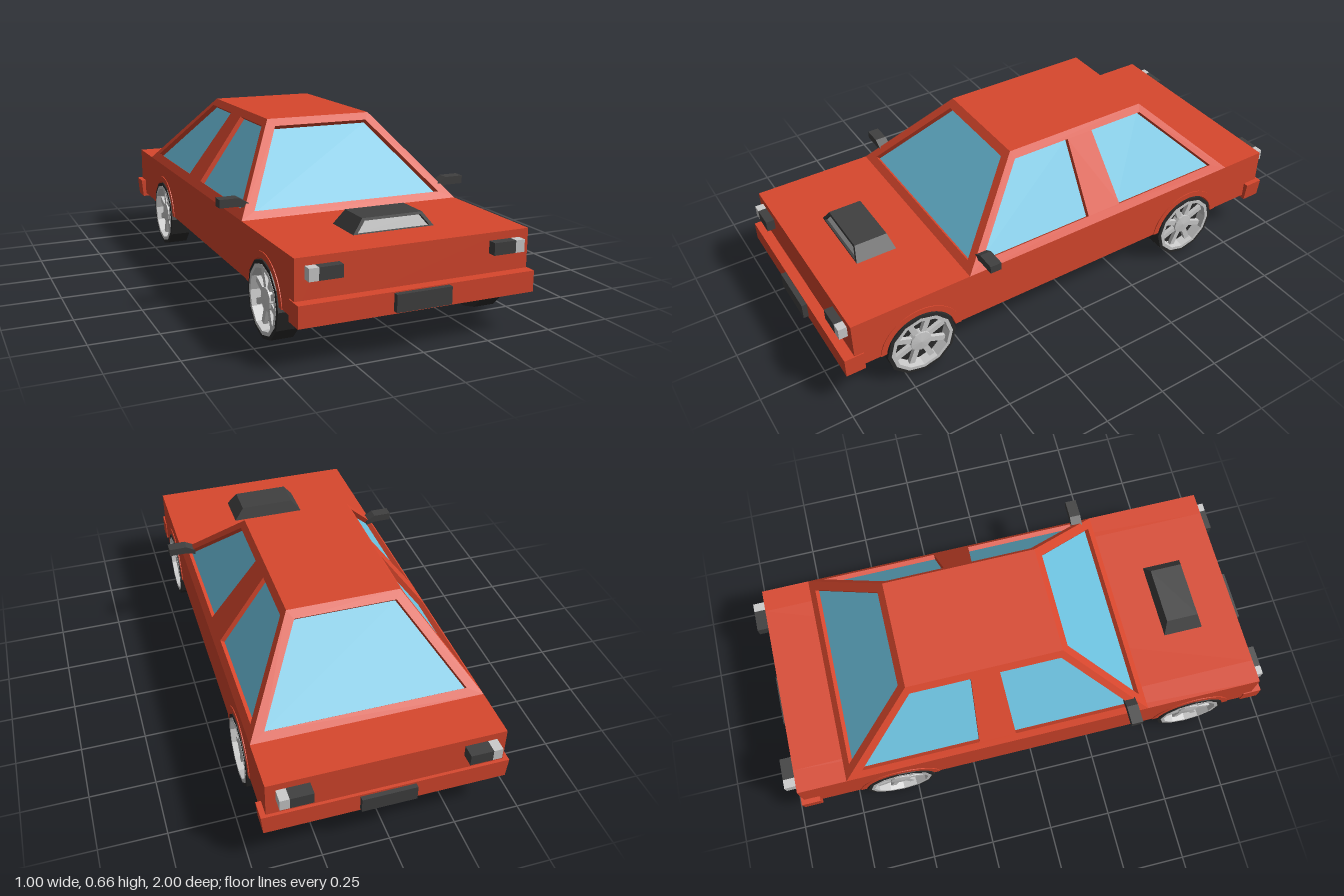
import * as THREE from 'three';

const mat = (color) => new THREE.MeshStandardMaterial({ color, flatShading: true });
const RED = mat(0xd8472d), DARK = mat(0x404040), TYRE = mat(0x2b2b2b), GLASS = mat(0x6cc1de), GREY = mat(0xcccccc);
const WHEEL_Z = [0.68, -0.56], WHEEL_R = 0.14, ARCH_R = 0.148;

const V = (p) => new THREE.Vector3(...p);
const mirrorX = (pts) => pts.map(([x, y, z]) => [-x, y, z]).reverse();
const mirrorZ = (pts, z = 0) => pts.map(([x, y, pz]) => [x, y, 2 * z - pz]).reverse();

function add(group, name, geometry, material, x = 0, y = 0, z = 0) {
  const mesh = new THREE.Mesh(geometry, material);
  mesh.name = name;
  mesh.position.set(x, y, z);
  group.add(mesh);
  return mesh;
}

const box = (group, name, material, [x0, x1], [y0, y1], [z0, z1]) =>
  add(group, name, new THREE.BoxGeometry(x1 - x0, y1 - y0, z1 - z0), material, (x0 + x1) / 2, (y0 + y1) / 2, (z0 + z1) / 2);

// Flat wall through 3D corners (anticlockwise from outside) with recessed panes in its openings
function panel(group, name, corners, material, openings = [], pane = GLASS, depth = 0.022) {
  const o = V(corners[0]);
  const u = V(corners[1]).sub(o).normalize();
  const n = u.clone().cross(V(corners[corners.length - 1]).sub(o)).normalize();
  const m = new THREE.Matrix4().makeBasis(u, n.clone().cross(u), n).setPosition(o);
  const inv = m.clone().invert();
  const flat = (pts) => pts.map((p) => V(p).applyMatrix4(inv)).map((p) => new THREE.Vector2(p.x, p.y));
  const wall = new THREE.Shape(flat(corners));
  wall.holes = openings.map((h) => new THREE.Path(flat(h)));
  const geo = new THREE.ExtrudeGeometry(wall, { depth, bevelEnabled: false });
  add(group, name, geo.translate(0, 0, -depth).applyMatrix4(m), material);
  for (const h of openings) {
    const paneGeo = new THREE.ShapeGeometry(new THREE.Shape(flat(h)));
    add(group, name + 'Pane', paneGeo.translate(0, 0, -depth * 0.9).applyMatrix4(m), pane);
  }
}

function buildBody(car) {
  box(car, 'bodyCore', RED, [-0.345, 0.345], [0.16, 0.36], [-0.95, 0.94]);
  // Side profile with wheel arches cut from the lower edge
  const dy = 0.16 - WHEEL_R, a = Math.asin(dy / ARCH_R), half = Math.cos(a) * ARCH_R;
  const side = new THREE.Shape();
  side.moveTo(-0.95, 0.36);
  side.lineTo(-0.95, 0.16);
  for (const z of [...WHEEL_Z].reverse()) {
    side.lineTo(z - half, 0.16);
    side.absarc(z, WHEEL_R, ARCH_R, Math.PI - a, a, true);
  }
  side.lineTo(0.94, 0.16);
  side.lineTo(0.94, 0.36);
  const lip = new THREE.Shape();
  lip.absarc(0, 0, 0.166, 0.12, Math.PI - 0.12, false);
  lip.absarc(0, 0, ARCH_R - 0.006, Math.PI - 0.14, 0.14, true);
  for (const s of [1, -1]) {
    // Shape x runs along model z, so the extrusion points to -x
    const geo = new THREE.ExtrudeGeometry(side, { depth: 0.092, bevelEnabled: false, curveSegments: 12 });
    geo.rotateY(-Math.PI / 2);
    add(car, 'bodySide', geo, RED, s > 0 ? 0.436 : -0.344);
    for (const z of WHEEL_Z) {
      const lipGeo = new THREE.ExtrudeGeometry(lip, { depth: 0.02, bevelEnabled: false, curveSegments: 12 });
      add(car, 'archLip', lipGeo.rotateY(-Math.PI / 2), RED, s > 0 ? 0.439 : -0.419, WHEEL_R, z);
    }
  }
}

function buildCabin(car) {
  const cabin = new THREE.Group();
  cabin.name = 'cabin';
  car.add(cabin);
  const B = 0.436, T = 0.215, y0 = 0.36, y1 = 0.662;
  const zf0 = 0.47, zf1 = 0.16, zr0 = -0.755, zr1 = -0.445;
  const sx = (y) => B - ((y - y0) / (y1 - y0)) * (B - T);
  // Point on the sloped end wall at height y
  const end = (x, y, za, zb) => [x, y, za + ((y - y0) / (y1 - y0)) * (zb - za)];
  const trapezoid = (b, t, lo, hi, za, zb) =>
    [end(-b, lo, za, zb), end(b, lo, za, zb), end(t, hi, za, zb), end(-t, hi, za, zb)];
  panel(cabin, 'windscreen', trapezoid(B, T, y0, y1, zf0, zf1), RED, [trapezoid(0.378, 0.193, 0.384, 0.637, zf0, zf1)]);
  panel(cabin, 'rearWindow', trapezoid(B, T, y0, y1, zr0, zr1).reverse(), RED,
    [trapezoid(0.378, 0.193, 0.384, 0.637, zr0, zr1).reverse()]);
  panel(cabin, 'roof', [[-T, y1, zf1], [T, y1, zf1], [T, y1, zr1], [-T, y1, zr1]], RED);

  const wall = [[B, y0, zf0], [B, y0, zr0], [T, y1, zr1], [T, y1, zf1]];
  const lo = 0.388, hi = 0.636, p = (y, z) => [sx(y), y, z];
  const windows = [
    [p(lo, 0.405), p(lo, -0.07), p(hi, -0.088), p(hi, 0.15)],
    [p(lo, -0.217), p(lo, -0.685), p(hi, -0.435), p(hi, -0.2)],
  ];
  panel(cabin, 'leftSideWindows', wall, RED, windows);
  panel(cabin, 'rightSideWindows', mirrorX(wall), RED, windows.map(mirrorX));
}

function buildScoop(car) {
  const scoop = new THREE.Group();
  scoop.name = 'hoodScoop';
  car.add(scoop);
  const zc = 0.705, yb = 0.36, yt = 0.411;
  const front = [[-0.155, yb, 0.785], [0.155, yb, 0.785], [0.115, yt, 0.77], [-0.115, yt, 0.77]];
  const at = (x, y) => [x, y, 0.785 - ((y - yb) / (yt - yb)) * 0.015];
  panel(scoop, 'scoopFront', front, DARK, [[at(-0.138, 0.364), at(0.138, 0.364), at(0.107, 0.402), at(-0.107, 0.402)]], GREY, 0.012);
  const back = mirrorZ(front, zc);
  panel(scoop, 'scoopBack', back, DARK, [], GREY, 0.01);
  const side = [front[1], [0.155, yb, 0.625], [0.115, yt, 0.64], front[2]];
  panel(scoop, 'scoopSide', side, DARK, [], GREY, 0.005);
  panel(scoop, 'scoopSide', mirrorX(side), DARK, [], GREY, 0.005);
  panel(scoop, 'scoopTop', [front[3], front[2], [0.115, yt, 0.64], [-0.115, yt, 0.64]], DARK, [], GREY, 0.005);
}

function buildWheel() {
  const wheel = new THREE.Group();
  wheel.name = 'wheel';
  const lathe = (pts) => new THREE.LatheGeometry(pts.map((q) => new THREE.Vector2(...q)), 12).rotateZ(-Math.PI / 2);
  add(wheel, 'tyre', lathe([[0, -0.042], [WHEEL_R, -0.042], [WHEEL_R, 0.04], [0.124, 0.041], [0.12, 0.002], [0, 0.002]]), TYRE);
  add(wheel, 'rim', lathe([[0.126, 0.03], [0.126, 0.042], [0.112, 0.042], [0.108, 0.002]]), GREY);
  add(wheel, 'hub', lathe([[0.042, 0], [0.042, 0.03], [0, 0.034]]), GREY);
  for (let i = 0; i < 8; i++) {
    const spoke = new THREE.BoxGeometry(0.016, 0.085, 0.022).translate(0.016, 0.072, 0);
    add(wheel, 'spoke', spoke.rotateX(((i + 0.5) * Math.PI) / 4), GREY);
  }
  return wheel;
}

function buildTrim(car) {
  // Bumpers; the rear one wraps wider around the corners and narrows downwards
  box(car, 'frontBumper', RED, [-0.44, 0.44], [0.142, 0.218], [0.905, 0.98]);
  const rear = new THREE.Shape([[-0.449, 0.145], [0.449, 0.145], [0.456, 0.222], [-0.456, 0.222]].map((q) => new THREE.Vector2(...q)));
  add(car, 'rearBumper', new THREE.ExtrudeGeometry(rear, { depth: 0.075, bevelEnabled: false }), RED, 0, 0, -0.962);
  box(car, 'frontPlate', DARK, [-0.103, 0.103], [0.152, 0.214], [0.97, 1]);
  box(car, 'rearPlate', DARK, [-0.103, 0.103], [0.155, 0.214], [-0.98, -0.95]);

  const mirror = new THREE.Shape([[0.39, 0.39], [0.43, 0.4], [0.5, 0.4], [0.5, 0.431], [0.427, 0.431], [0.39, 0.41]]
    .map((q) => new THREE.Vector2(...q)));
  for (const s of [1, -1]) {
    const span = (a, b) => (s > 0 ? [a, b] : [-b, -a]);
    for (const [name, z] of [['headlamp', [0.93, 0.973]], ['tailLamp', [-1, -0.94]]]) {
      box(car, name, DARK, span(0.28, 0.365), [0.288, 0.332], z);
      box(car, name + 'Indicator', GREY, span(0.365, 0.4), [0.288, 0.332], z);
    }
    const geo = new THREE.ExtrudeGeometry(mirror, { depth: 0.045, bevelEnabled: false });
    // A half turn gives the opposite mirror
    const m = add(car, 'doorMirror', geo.translate(0, 0, -0.0225), DARK, 0, 0, 0.398);
    if (s < 0) m.rotation.y = Math.PI;

    for (const z of WHEEL_Z) {
      const wheel = buildWheel();
      wheel.position.set(s * 0.401, WHEEL_R, z);
      if (s < 0) wheel.rotation.y = Math.PI;
      car.add(wheel);
    }
  }
}

export function createModel() {
  const car = new THREE.Group();
  car.name = 'car';
  buildBody(car);
  buildCabin(car);
  buildScoop(car);
  buildTrim(car);
  return car;
}
